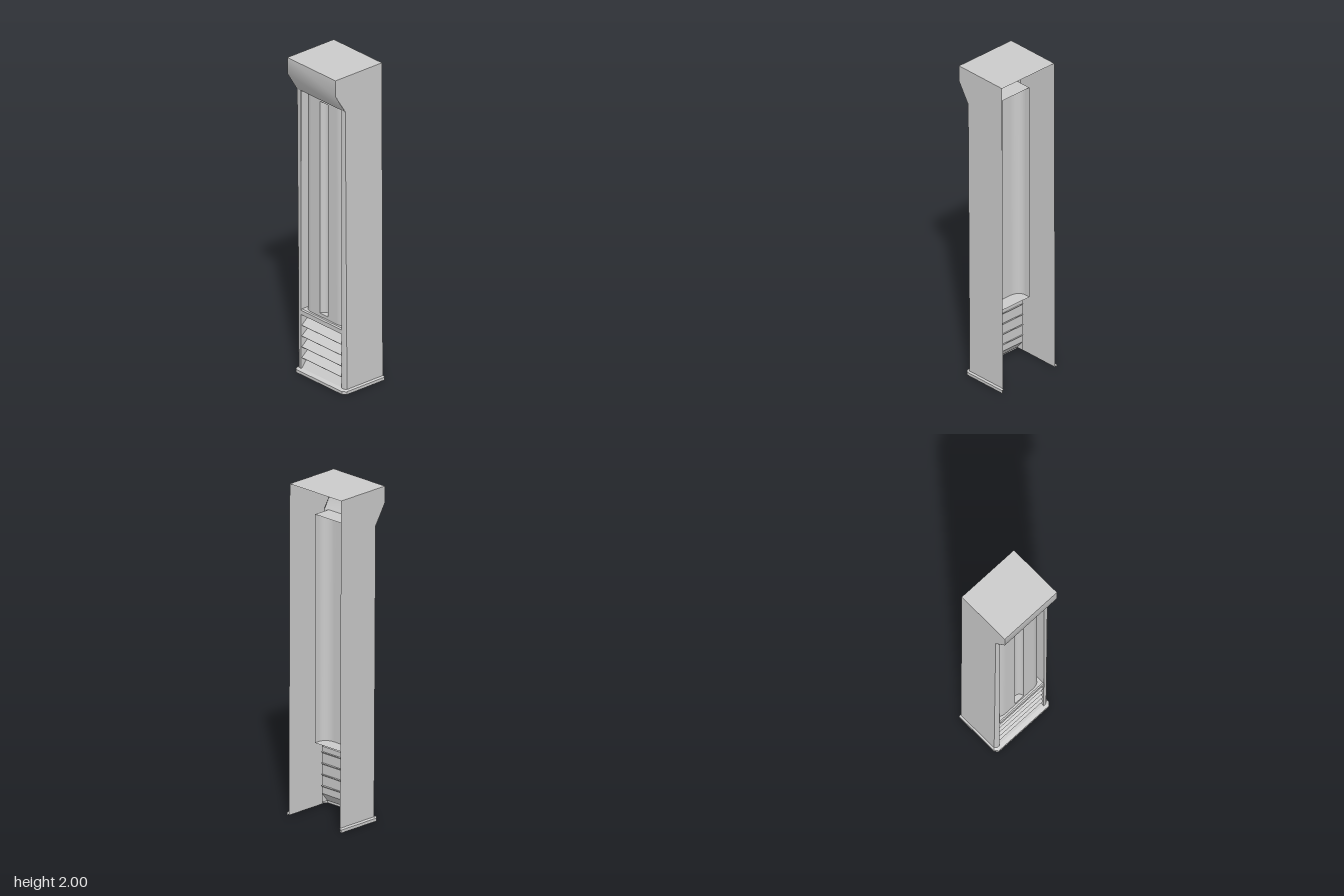
import * as THREE from 'three';

const material = new THREE.MeshStandardMaterial({ color: 0xcccccc, side: THREE.DoubleSide });

// Sheet spanned between two matching paths of [x, y, z] points
function sheet(name, a, b, smooth = false) {
  const index = [];
  for (let i = 0; i < a.length - 1; i++) {
    const j = i + a.length;
    index.push(i, i + 1, j + 1, i, j + 1, j);
  }
  let geo = new THREE.BufferGeometry();
  geo.setAttribute('position', new THREE.Float32BufferAttribute([...a, ...b].flat(), 3));
  geo.setIndex(index);
  if (!smooth) geo = geo.toNonIndexed();
  geo.computeVertexNormals();
  const mesh = new THREE.Mesh(geo, material);
  mesh.name = name;
  return mesh;
}

// Plan path [x, z] lifted to height y
const at = (plan, y) => plan.map(([x, z]) => [x, y, z]);

// Plan path swept straight up from y0 to y1
const upright = (name, plan, y0, y1, smooth) => sheet(name, at(plan, y0), at(plan, y1), smooth);

// Side path [z, y] swept across from x = w to x = -w
const across = (name, side, w, smooth) =>
  sheet(name, side.map(([z, y]) => [w, y, z]), side.map(([z, y]) => [-w, y, z]), smooth);

// Flat horizontal plate with a plan outline
function plate(name, plan, y) {
  const shape = new THREE.Shape(plan.map(([x, z]) => new THREE.Vector2(x, -z)));
  const mesh = new THREE.Mesh(new THREE.ShapeGeometry(shape).rotateX(-Math.PI / 2), material);
  mesh.position.y = y;
  mesh.name = name;
  return mesh;
}

// Points of an elliptical arc in plan
function arc(cx, cz, rx, rz, from, to, n = 10) {
  return Array.from({ length: n + 1 }, (_, i) => {
    const t = from + (to - from) * i / n;
    return [cx + rx * Math.cos(t), cz + rz * Math.sin(t)];
  });
}

export function createModel() {
  const model = new THREE.Group();
  const W = 0.205, R = 0.173;             // half widths of cabinet and recess
  const base = 0.026, floor = 0.4, roof = 1.78, top = 2;
  const face = 0.088, groove = 0.034;     // column front and groove half width

  // Side walls with the overhanging header profile
  const profile = [[-0.178, 0], [0.095, 0], [0.108, roof], [0.183, 1.9], [0.183, top], [-0.171, top]];
  for (const s of [-1, 1]) {
    const shape = new THREE.Shape(profile.map(([z, y]) => new THREE.Vector2(-z, y)));
    const wall = new THREE.Mesh(new THREE.ShapeGeometry(shape).rotateY(Math.PI / 2), material);
    wall.position.x = s * W;
    wall.name = s > 0 ? 'leftWall' : 'rightWall';
    model.add(wall);

    // Front post, its outer bevel narrowing upward
    model.add(sheet(s > 0 ? 'leftPost' : 'rightPost',
      [[s * W, base, 0.095], [s * 0.194, base, 0.105], [s * R, base, 0.107]],
      [[s * W, roof, 0.108], [s * 0.2, roof, 0.11], [s * R, roof, 0.11]], true));

    // Inner cheeks beside the column and the louvers
    model.add(upright('recessCheek', [[s * R, 0.109], [s * R, 0]], floor, roof));
    model.add(upright('louverCheek', [[s * R, 0.107], [s * R, 0.055]], base, floor));

    // Half of the column, rounded forward and hollow behind
    const half = [...arc(s * (R - 0.065), 0.036, s * 0.065, face - 0.036, 0, Math.PI / 2),
      [s * groove, face]];
    model.add(upright('columnPanel', half, floor, roof, true));
  }

  // Header and roof
  model.add(across('header', [[0.11, roof], [0.183, 1.9], [0.183, top]], W, true));
  model.add(across('roof', [[0.183, top], [-0.171, top]], W));

  // Groove down the column with its end caps and the panel above and below it
  const channel = arc(0, face, groove, groove, 0, -Math.PI, 12);
  const y0 = 0.42, y1 = 1.755;
  model.add(upright('groove', channel, y0, y1, true));
  model.add(plate('grooveBottom', channel, y0), plate('grooveTop', channel, y1));
  const gap = [[-groove, face], [groove, face]];
  model.add(upright('grooveSill', gap, floor, y0), upright('grooveLintel', gap, y1, roof));

  // Recess floor and ceiling
  model.add(across('recessFloor', [[0, floor], [0.1, floor]], R));
  model.add(across('recessCeiling', [[0, roof], [0.11, roof]], R));

  // Rail between the recess and the louvers
  model.add(across('rail', [[0.1, floor], [0.107, 0.393], [0.107, 0.366], [0.058, 0.365]], R));

  // Panel behind the louvers, turning forward at the bottom
  model.add(across('louverPanel', [[0.058, 0.365], [0.058, 0.08], [0.1, base]], R));

  // Tilted slats passing through the panel
  for (let i = 0; i < 4; i++) {
    const slat = new THREE.Mesh(new THREE.BoxGeometry(2 * R, 0.006, 0.064), material);
    slat.position.set(0, 0.315 - i * 0.068, 0.075);
    slat.rotation.x = 0.68;
    slat.name = 'louverSlat';
    model.add(slat);
  }

  // Base trim: an upright band and a sloping lip up to the walls
  const outer = [[-0.215, -0.183], [-0.215, 0.105], [-0.196, 0.125],
    [0.196, 0.125], [0.215, 0.105], [0.215, -0.183]];
  const inner = [[-W, -0.183], [-W, 0.095], [-0.19, 0.1], [0.19, 0.1], [W, 0.095], [W, -0.183]];
  model.add(upright('baseBand', outer, 0, 0.018));
  model.add(sheet('baseLip', at(outer, 0.018), at(inner, base)));

  return model;
}
